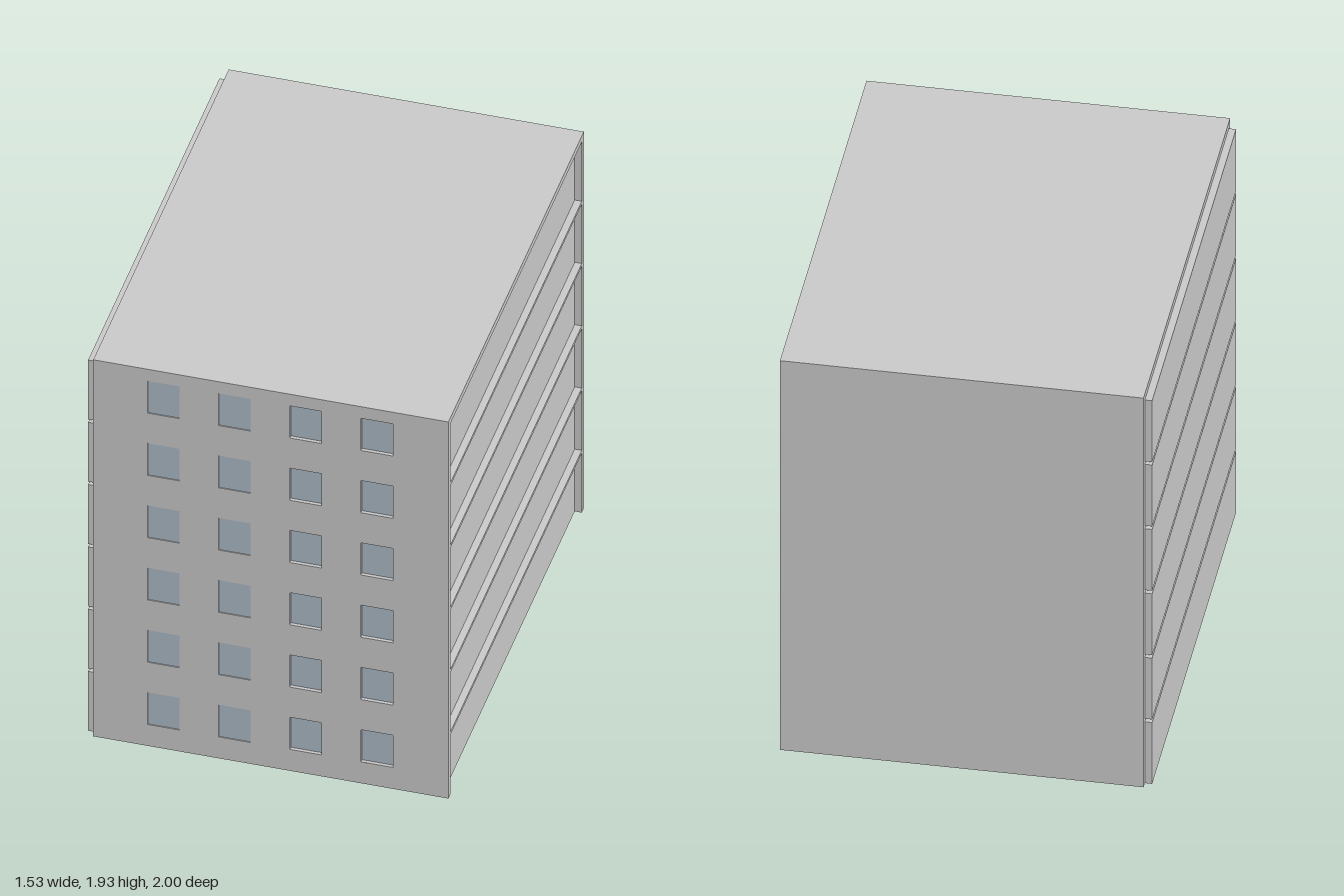
import * as THREE from 'three';

const concrete = new THREE.MeshStandardMaterial({ color: 0xc9c9c9 });
concrete.name = 'concrete';
const glass = new THREE.MeshStandardMaterial({ color: 0xadbac7 });
glass.name = 'glass';

const X0 = -0.735, X1 = 0.765;     // extent of walls, floors and roof
const CX = (X0 + X1) / 2;
const HEIGHT = 1.935, T = 0.03;    // overall height and wall thickness
const FLOORS = 6, STEP = 0.32, PANEL_H = 0.305;

// Box given by its minimum and maximum corners
function box(name, material, x0, x1, y0, y1, z0, z1) {
  const mesh = new THREE.Mesh(new THREE.BoxGeometry(x1 - x0, y1 - y0, z1 - z0), material);
  mesh.position.set((x0 + x1) / 2, (y0 + y1) / 2, (z0 + z1) / 2);
  mesh.name = name;
  return mesh;
}

function rectangle(path, x0, x1, y0, y1) {
  path.moveTo(x0, y0);
  path.lineTo(x1, y0);
  path.lineTo(x1, y1);
  path.lineTo(x0, y1);
  path.closePath();
  return path;
}

// Front wall with shallow window openings, each holding a pane
function createFront() {
  const front = new THREE.Group();
  front.name = 'front';
  const outline = rectangle(new THREE.Shape(), X0, X1, 0, HEIGHT);
  const columns = [-0.4375, -0.1375, 0.1625, 0.4625];
  for (let floor = 0; floor < FLOORS; floor++) {
    const y = floor * STEP + 0.11;
    columns.forEach((x, i) => {
      const x0 = x - 0.0675, x1 = x + 0.0675;
      outline.holes.push(rectangle(new THREE.Path(), x0, x1, y, y + 0.165));
      const face = i < 2 ? 0.996 : 0.985;   // panes on one half sit deeper
      front.add(box('windowPane', glass, x0, x1, y, y + 0.165, face - 0.005, face));
    });
  }
  const wall = new THREE.Mesh(
    new THREE.ExtrudeGeometry(outline, { depth: 0.02, bevelEnabled: false }), concrete);
  wall.position.z = 0.98;
  wall.name = 'frontWall';
  front.add(wall, box('frontWallLining', concrete, X0, X1, 0, HEIGHT, 1 - T, 0.98));
  return front;
}

export function createModel() {
  const building = new THREE.Group();
  building.name = 'building';

  building.add(createFront());
  building.add(box('backWall', concrete, X0, X1, 0, HEIGHT, -1, -1 + T));
  building.add(box('roof', concrete, X0, X1, HEIGHT - T, HEIGHT, -1 + T, 1 - T));

  // Storeys: side panels, the slab above them and the inner columns
  const columnGeometry = new THREE.CylinderGeometry(0.024, 0.024, PANEL_H, 10);
  for (let i = 0; i < FLOORS; i++) {
    const storey = new THREE.Group();
    storey.name = 'storey';
    const y = i * STEP, top = y + PANEL_H;
    storey.add(box('rightPanel', concrete, X0 - T, X0, y, top, -1 + T, 1 - T));
    storey.add(box('leftPanel', concrete, X1 - 2 * T, X1 - T, y, top, -1 + T, 1 - T));
    if (i < FLOORS - 1) {
      storey.add(box('floorSlab', concrete, X0, X1, top, y + STEP, -1 + T, 1 - T));
    }
    for (const dx of [-0.25, 0.25]) {
      for (const z of [-0.5, 0, 0.5]) {
        const column = new THREE.Mesh(columnGeometry, concrete);
        column.position.set(CX + dx, y + PANEL_H / 2, z);
        column.name = 'column';
        storey.add(column);
      }
    }
    building.add(storey);
  }
  return building;
}
